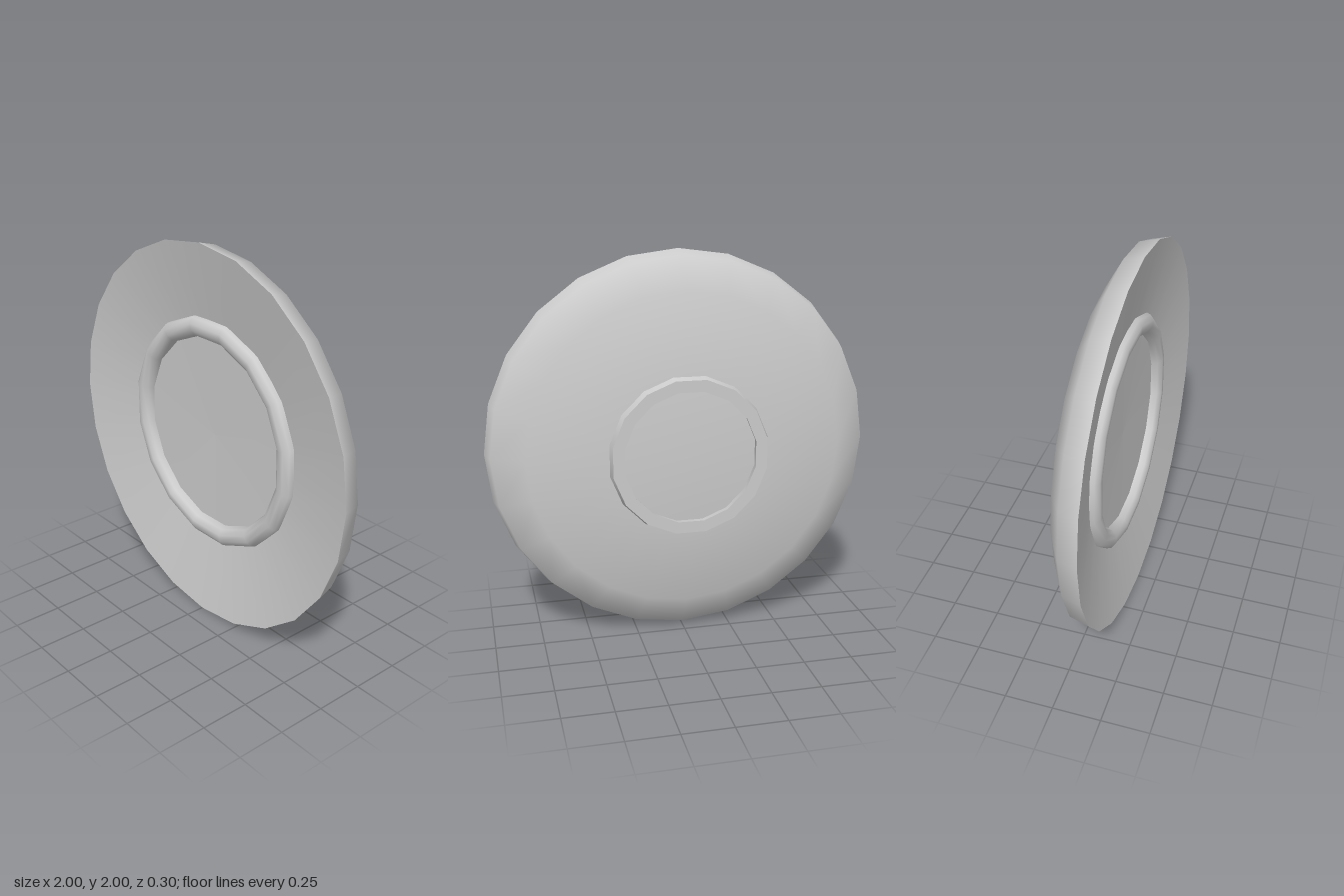
import * as THREE from 'three';

export function createModel() {
  const group = new THREE.Group();
  group.name = 'saucer';
  const material = new THREE.MeshStandardMaterial({ color: 0xcccccc });

  function add(name, geometry, parent = group) {
    const mesh = new THREE.Mesh(geometry, material);
    mesh.name = name;
    mesh.position.y = 1;
    parent.add(mesh);
    return mesh;
  }

  // Turned surface around the z axis from [radius, z] pairs
  function turned(profile, sides, turn = 0) {
    const points = profile.map(([r, z]) => new THREE.Vector2(r, z));
    return new THREE.LatheGeometry(points, sides).rotateX(Math.PI / 2).rotateZ(turn);
  }

  // Rounded back of the dish, from the foot out to the rim
  add('dishBack', turned([[0, -0.11], [0.4, -0.11], [0.81, -0.04], [0.975, 0.05], [1, 0.15]], 24));

  // Shallow bowl on the front, falling from the rim to the well
  add('dishFront', turned([[1, 0.15], [0.56, 0.065]], 24));
  add('well', turned([[0.56, 0.065], [0, 0.055]], 24));

  // Raised bead around the well
  const bead = add('wellRing', new THREE.TorusGeometry(0.557, 0.054, 10, 16).rotateZ(Math.PI / 16));
  bead.position.set(-0.005, 1.01, 0.065);

  // Foot ring on the back: inner wall, flat base and outer wall with sharp edges
  const foot = new THREE.Group();
  foot.name = 'footRing';
  group.add(foot);
  const turn = Math.PI / 16;
  add('footInner', turned([[0.345, -0.108], [0.34, -0.15]], 16, turn), foot);
  add('footBase', turned([[0.34, -0.15], [0.4, -0.15]], 16, turn), foot);
  add('footOuter', turned([[0.4, -0.15], [0.412, -0.105]], 16, turn), foot);

  return group;
}
